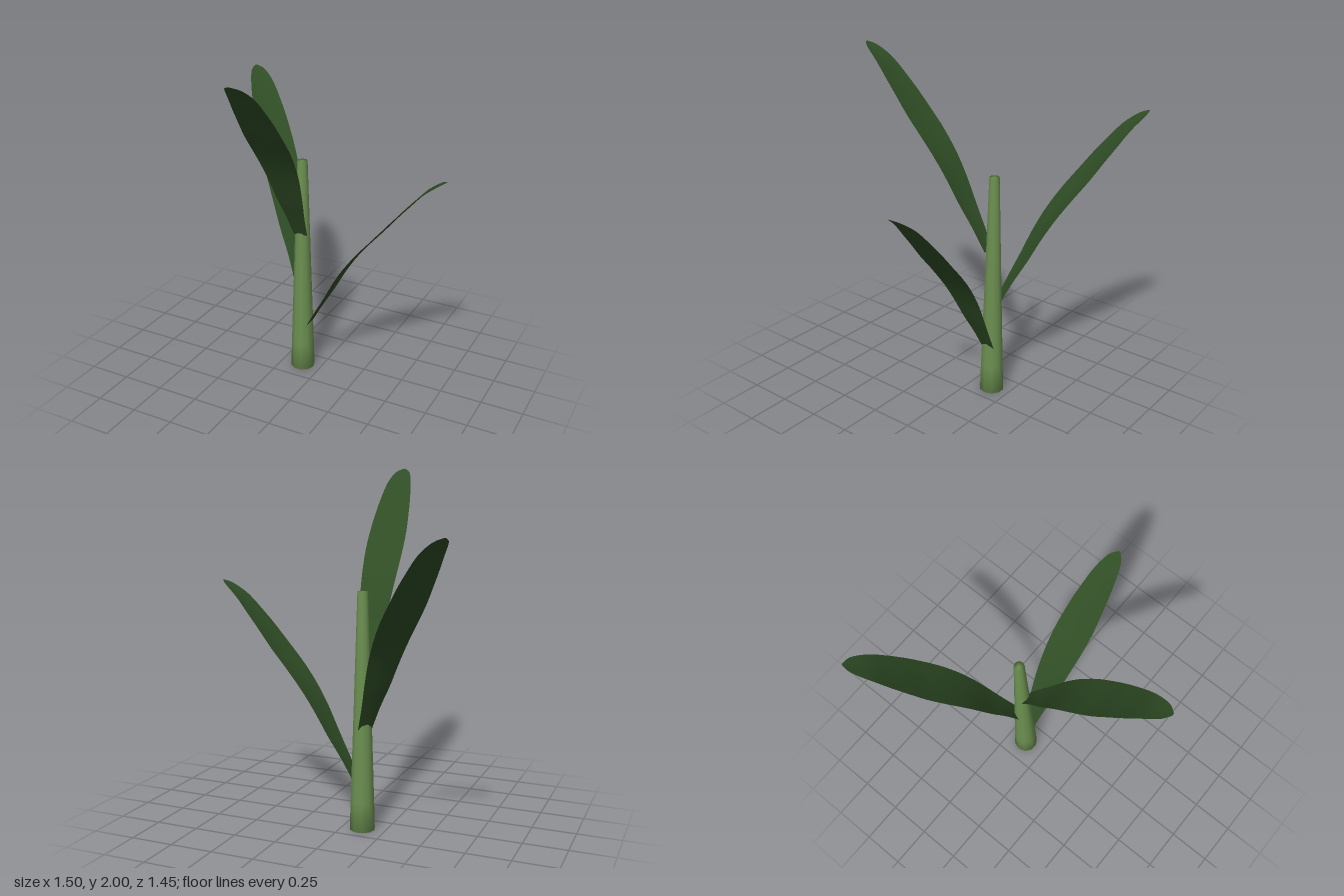
import * as THREE from 'three';

const stemMat = new THREE.MeshStandardMaterial({ color: 0x6b8f50 });
stemMat.name = 'stemGreen';
const leafMat = new THREE.MeshStandardMaterial({ color: 0x2f4d25, side: THREE.DoubleSide });
leafMat.name = 'leafGreen';

// Leaf stations: [distance from stem axis, height, half width]
const STATIONS = [
  [0.035, -0.025, 0.043], [0.11, 0.115, 0.057], [0.18, 0.235, 0.076], [0.25, 0.365, 0.091],
  [0.325, 0.485, 0.102], [0.42, 0.61, 0.11], [0.51, 0.715, 0.109], [0.595, 0.82, 0.1],
  [0.66, 0.895, 0.09], [0.74, 0.985, 0.073], [0.80, 1.035, 0.054], [0.835, 1.06, 0.036],
  [0.862, 1.077, 0.006],
];

// Curved blade growing out along +x with a slight channel along its middle
function leafGeometry() {
  const rows = 28, cols = 4;
  const curve = new THREE.CatmullRomCurve3(STATIONS.map((s) => new THREE.Vector3(...s)));
  const geo = new THREE.PlaneGeometry(2, 1, cols, rows);
  const pos = geo.attributes.position;
  for (let i = 0; i < pos.count; i++) {
    const side = pos.getX(i);
    const p = curve.getPoint(THREE.MathUtils.clamp(pos.getY(i) + 0.5, 0, 1));
    const fold = 0.05 * p.z * side * side;
    pos.setXYZ(i, p.x - fold, p.y + fold, side * p.z);
  }
  geo.computeVertexNormals();
  return geo;
}

export function createModel() {
  const plant = new THREE.Group();
  plant.name = 'plant';

  // Tapered ten-sided stem, closed at both ends
  const profile = [[0, 0], [0.073, 0], [0.068, 0.17], [0.0515, 0.675], [0.03, 1.35], [0, 1.35]]
    .map(([r, y]) => new THREE.Vector2(r, y));
  const stem = new THREE.Mesh(new THREE.LatheGeometry(profile, 10, Math.PI / 2), stemMat);
  stem.name = 'stem';
  plant.add(stem);

  // Three leaves climbing the stem at the golden angle
  const geo = leafGeometry();
  ['lowerLeaf', 'middleLeaf', 'upperLeaf'].forEach((name, i) => {
    const leaf = new THREE.Mesh(geo, leafMat);
    leaf.name = name;
    leaf.position.y = 0.3 + 0.3125 * i;
    leaf.rotation.y = THREE.MathUtils.degToRad(137.5 * i);
    plant.add(leaf);
  });

  // Offset so the whole plant is centred
  plant.position.set(-0.117, 0, -0.135);
  const model = new THREE.Group();
  model.name = 'leafyPlant';
  model.add(plant);
  return model;
}
